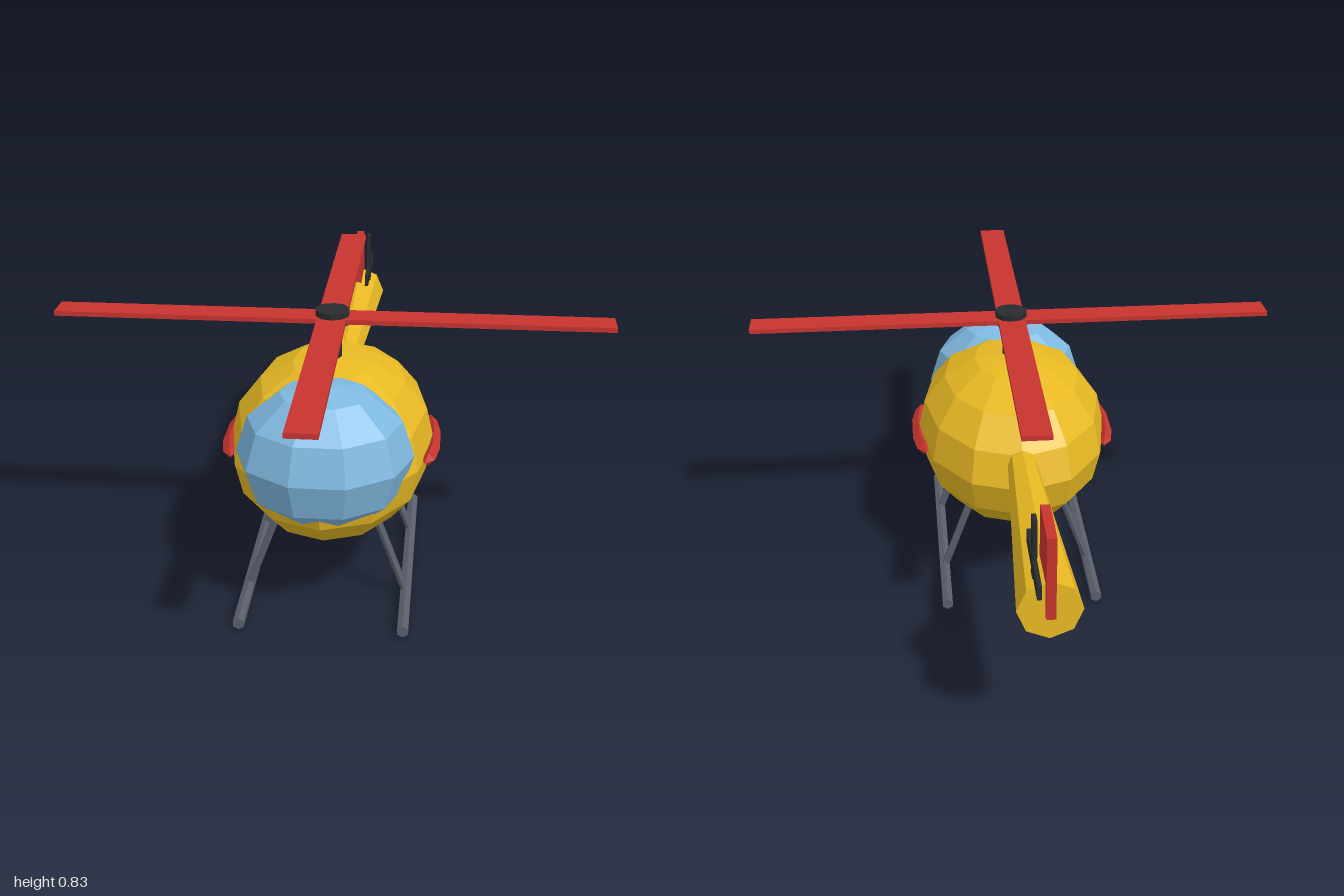
import * as THREE from 'three';

const mat = (color) => new THREE.MeshStandardMaterial({ color, flatShading: true });

export function createModel() {
  const model = new THREE.Group();
  const yellow = mat(0xe8b923);
  const red = mat(0xc8342f);
  const blue = mat(0x7fb9e0);
  const black = mat(0x292b2f);
  const steel = mat(0x5a5f6b);

  const add = (name, geometry, material, x = 0, y = 0, z = 0, parent = model) => {
    const mesh = new THREE.Mesh(geometry, material);
    mesh.name = name;
    mesh.position.set(x, y, z);
    parent.add(mesh);
    return mesh;
  };
  const group = (name) => {
    const g = new THREE.Group();
    g.name = name;
    model.add(g);
    return g;
  };
  const ellipsoid = (rx, ry, rz, w, h) => new THREE.SphereGeometry(1, w, h).scale(rx, ry, rz);

  // Fuselage and canopy
  add('fuselage', ellipsoid(0.3, 0.26, 0.43, 12, 8), yellow, 0, 0.43, 0.2);
  add('canopy', ellipsoid(0.25, 0.21, 0.23, 10, 6), blue, 0, 0.49, 0.44);

  // Tail boom widens towards the back
  add('tailBoom', new THREE.CylinderGeometry(0.085, 0.04, 0.8, 8).rotateX(-Math.PI / 2),
    yellow, 0, 0.5, -0.53);
  add('tailFin', new THREE.BoxGeometry(0.025, 0.235, 0.16), red, 0, 0.603, -0.87);

  // Tail rotor on the left of the fin
  const tailRotor = group('tailRotor');
  add('tailBladeUpright', new THREE.BoxGeometry(0.012, 0.265, 0.037), black, 0.035, 0.6, -0.868, tailRotor);
  add('tailBladeLevel', new THREE.BoxGeometry(0.012, 0.037, 0.265), black, 0.035, 0.6, -0.868, tailRotor);

  // Main rotor
  const rotor = group('mainRotor');
  add('mast', new THREE.CylinderGeometry(0.027, 0.027, 0.15, 8), black, 0, 0.73, 0.2, rotor);
  add('hub', new THREE.CylinderGeometry(0.05, 0.05, 0.042, 10), black, 0, 0.808, 0.2, rotor);
  add('bladeAcross', new THREE.BoxGeometry(1.6, 0.014, 0.083), red, 0, 0.805, 0.2, rotor);
  add('bladeAlong', new THREE.BoxGeometry(0.083, 0.014, 1.6), red, 0, 0.805, 0.2, rotor);

  // Side stripe: pointed diamond bar bent to follow the fuselage
  const stripeGeometry = (side) => {
    const profile = [[0, -0.165], [0.02, -0.135], [0.02, -0.06], [0.02, 0.06], [0.02, 0.135], [0, 0.165]]
      .map(([r, y]) => new THREE.Vector2(r, y));
    const g = new THREE.LatheGeometry(profile, 4).rotateX(Math.PI / 2);
    const p = g.attributes.position;
    for (let i = 0; i < p.count; i++) {
      const bulge = 0.302 * Math.sqrt(1 - (p.getZ(i) / 0.43) ** 2);
      p.setX(i, p.getX(i) + side * bulge);
    }
    g.computeVertexNormals();
    return g;
  };

  // Landing gear and stripes, mirrored
  const gear = group('landingGear');
  const up = new THREE.Vector3(0, 1, 0);
  for (const [side, label] of [[1, 'left'], [-1, 'right']]) {
    add(label + 'Stripe', stripeGeometry(side), red, 0, 0.43, 0.2);
    add(label + 'Skid', new THREE.CylinderGeometry(0.018, 0.018, 0.8, 6).rotateX(Math.PI / 2),
      steel, side * 0.233, 0.018, 0.2, gear);
    for (const [z, place] of [[0.385, 'Front'], [0.02, 'Rear']]) {
      const foot = new THREE.Vector3(side * 0.233, 0.018, z);
      const top = new THREE.Vector3(side * 0.148, 0.25, z);
      const dir = top.clone().sub(foot);
      const strut = add(label + place + 'Strut',
        new THREE.CylinderGeometry(0.012, 0.012, dir.length(), 6), steel, 0, 0, 0, gear);
      strut.position.copy(foot).add(top).multiplyScalar(0.5);
      strut.quaternion.setFromUnitVectors(up, dir.normalize());
    }
  }

  // Cargo ring under the belly
  add('cargoRing', new THREE.TorusGeometry(0.043, 0.009, 6, 10), steel, 0, 0.152, 0.2);

  return model;
}
